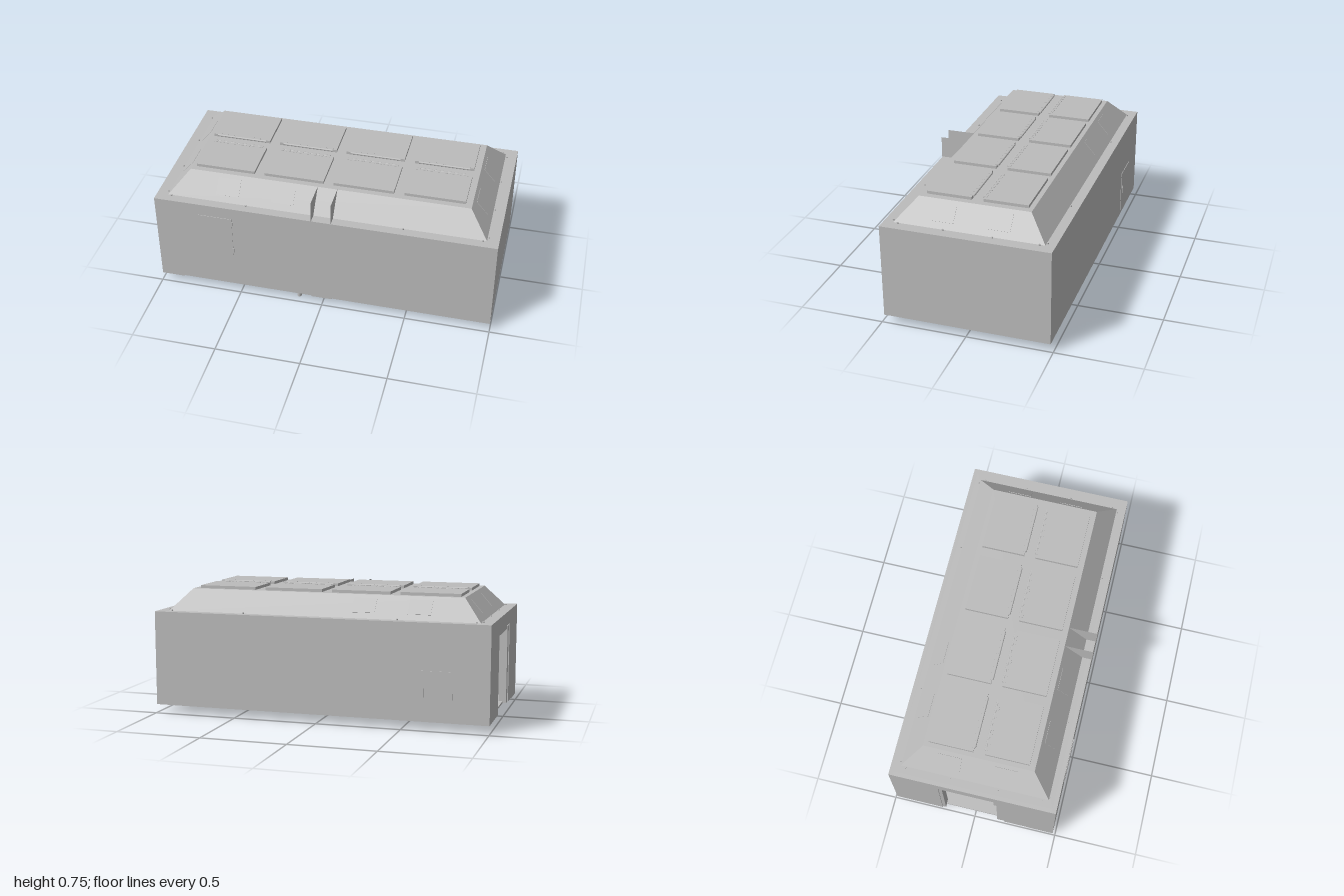
import * as THREE from 'three';

export function createModel() {
  const model = new THREE.Group();
  const shell = new THREE.MeshStandardMaterial({ color: 0xbcbcbc });
  shell.name = 'shell grey';
  const sheet = new THREE.MeshStandardMaterial({ color: 0xbcbcbc, side: THREE.DoubleSide });
  sheet.name = 'sheet grey';

  const add = (name, geometry, parent = model, material = shell) => {
    const mesh = new THREE.Mesh(geometry, material);
    mesh.name = name;
    parent.add(mesh);
    return mesh;
  };
  // box given by its limits on each axis
  const box = (name, [x0, x1], [y0, y1], [z0, z1], parent = model) => {
    const mesh = add(name, new THREE.BoxGeometry(x1 - x0, y1 - y0, z1 - z0), parent);
    mesh.position.set((x0 + x1) / 2, (y0 + y1) / 2, (z0 + z1) / 2);
    return mesh;
  };
  const cylinder = (name, radius, length, x, y, z, axis = 'y', parent = model) => {
    const g = new THREE.CylinderGeometry(radius, radius, length, 20);
    if (axis === 'x') g.rotateZ(Math.PI / 2);
    if (axis === 'z') g.rotateX(Math.PI / 2);
    const mesh = add(name, g, parent);
    mesh.position.set(x, y, z);
    return mesh;
  };

  // hollow housing
  const D = 0.485, Y0 = 0.05, Y1 = 0.61, T = 0.025;
  box('floor', [-1 + T, 1 - T], [Y0, Y0 + 0.012], [-D + T, D - T]);
  box('ceiling', [-1 + T, 1 - T], [Y1 - T, Y1], [-D + T, D - T]);
  box('frontWall', [-1, 1], [Y0, Y1], [D - T, D]);
  box('backWall', [-1, 1], [Y0, Y1], [-D, -D + T]);
  box('closedEndWall', [1 - T, 1], [Y0, Y1], [-D + T, D - T]);

  // end wall with the tall doorway, drawn in z and y
  const e = D - T;
  const wall = new THREE.Shape([
    [-e, Y0], [-0.2, Y0], [-0.2, 0.53], [0.185, 0.53],
    [0.185, Y0], [e, Y0], [e, Y1], [-e, Y1],
  ].map(([z, y]) => new THREE.Vector2(z, y)));
  const endWall = add('doorwayEndWall', new THREE.ExtrudeGeometry(wall, { depth: T, bevelEnabled: false }));
  endWall.rotation.y = -Math.PI / 2;
  endWall.position.x = -1 + T;

  // door frame and fittings inside
  box('doorJamb', [-0.995, -0.95], [Y0, 0.52], [0.14, 0.185]);
  box('doorJamb', [-0.995, -0.95], [Y0, 0.52], [-0.2, -0.18]);
  box('doorHeader', [-0.99, -0.95], [0.5, 0.53], [-0.18, 0.14]);
  box('innerPost', [-0.92, -0.88], [0.062, 0.585], [0.1, 0.14]);
  cylinder('innerPipe', 0.035, 1.3, -0.2, 0.47, 0.12, 'x');
  cylinder('innerPipe', 0.02, 1.3, -0.2, 0.39, 0.15, 'x');
  box('equipmentBox', [-0.85, -0.72], [0.15, 0.24], [0.1, 0.22]);
  box('equipmentStand', [-0.81, -0.76], [0.062, 0.15], [0.14, 0.18]);

  // sloped roof: a box whose upper corners are drawn in
  const RB = 0.932, RZ = 0.43, IN = 0.11, RH = 0.125;
  const roofGeo = new THREE.BoxGeometry(RB * 2, RH, RZ * 2);
  const p = roofGeo.attributes.position;
  for (let i = 0; i < p.count; i++) {
    if (p.getY(i) > 0) {
      p.setX(i, Math.sign(p.getX(i)) * (RB - IN));
      p.setZ(i, Math.sign(p.getZ(i)) * (RZ - IN));
    }
  }
  roofGeo.computeVertexNormals();
  add('slopedRoof', roofGeo).position.y = Y1 + RH / 2;

  // eight roof hatches in two rows, with hinges between each pair
  const top = Y1 + RH;
  for (const x of [-0.62, -0.21, 0.2, 0.61]) {
    box('roofHatch', [x - 0.175, x + 0.175], [top, 0.752], [-0.293, -0.037]);
    box('roofHatch', [x - 0.175, x + 0.175], [top, 0.752], [0.03, 0.286]);
    for (const z of [-0.034, 0.027]) {
      cylinder('hatchHinge', 0.006, 0.3, x, 0.748, z, 'x');
      for (let k = 0; k < 8; k++) {
        const hx = x - 0.14 + k * 0.04;
        const out = Math.sign(z) * 0.018;
        box('hingeLeaf', [hx - 0.012, hx + 0.012], [0.745, 0.754],
          [Math.min(z, z + out), Math.max(z, z + out)]);
      }
    }
  }

  // thin vent covers lying on the slopes
  const tilt = Math.atan2(IN, RH);
  const ventCover = (turn, along, reach) => {
    const side = new THREE.Group();
    side.name = 'ventCover';
    side.rotation.y = turn;
    const plate = add('ventPlate', new THREE.BoxGeometry(0.135, 0.1, 0.004), side);
    plate.rotation.x = -tilt;
    plate.position.set(along, 0.6775, reach - IN * 0.54);
    model.add(side);
  };
  for (const x of [-0.578, -0.253]) {
    ventCover(0, x, RZ);
    ventCover(Math.PI, -x, RZ);
  }
  for (const z of [-0.16, 0.16]) {
    ventCover(Math.PI / 2, z, RB);
    ventCover(-Math.PI / 2, z, RB);
  }

  // small bolts around the roof base
  for (const s of [-1, 1]) {
    for (const x of [-0.91, -0.46, 0.46, 0.91]) cylinder('roofBolt', 0.005, 0.008, x, Y1 + 0.004, s * 0.437);
    for (const z of [-0.4, -0.14, 0.14, 0.4]) cylinder('roofBolt', 0.005, 0.008, s * 0.94, Y1 + 0.004, z);
  }

  // pair of upright fins reaching out from the front slope
  const fin = new THREE.ShapeGeometry(new THREE.Shape([
    new THREE.Vector2(-0.43, Y1), new THREE.Vector2(-0.32, 0.737),
    new THREE.Vector2(-0.488, 0.737), new THREE.Vector2(-0.488, Y1),
  ]));
  for (const x of [-0.06, 0.055]) {
    const plate = add('roofFin', fin, model, sheet);
    plate.rotation.y = Math.PI / 2;
    plate.position.x = x;
  }

  // flush access panels on the long walls
  box('frontAccessPanel', [-0.735, -0.535], [0.273, 0.537], [D, D + 0.003]);
  for (const y of [0.31, 0.5]) box('panelHinge', [-0.54, -0.53], [y - 0.015, y + 0.015], [D, D + 0.005]);
  box('backAccessDoor', [-0.79, -0.59], [0.08, 0.34], [-D - 0.003, -D]);
  box('backDoorHandle', [-0.627, -0.617], [0.19, 0.24], [-D - 0.007, -D - 0.003]);

  // underside plates and drain pipe
  box('cornerUnderPlate', [-1, -0.86], [0.044, Y0], [0.32, D]);
  box('middleUnderPlate', [-0.065, 0.055], [0.044, Y0], [0.36, D]);
  cylinder('drainPipe', 0.013, 0.055, -0.15, 0.0275, 0.445);

  return model;
}
